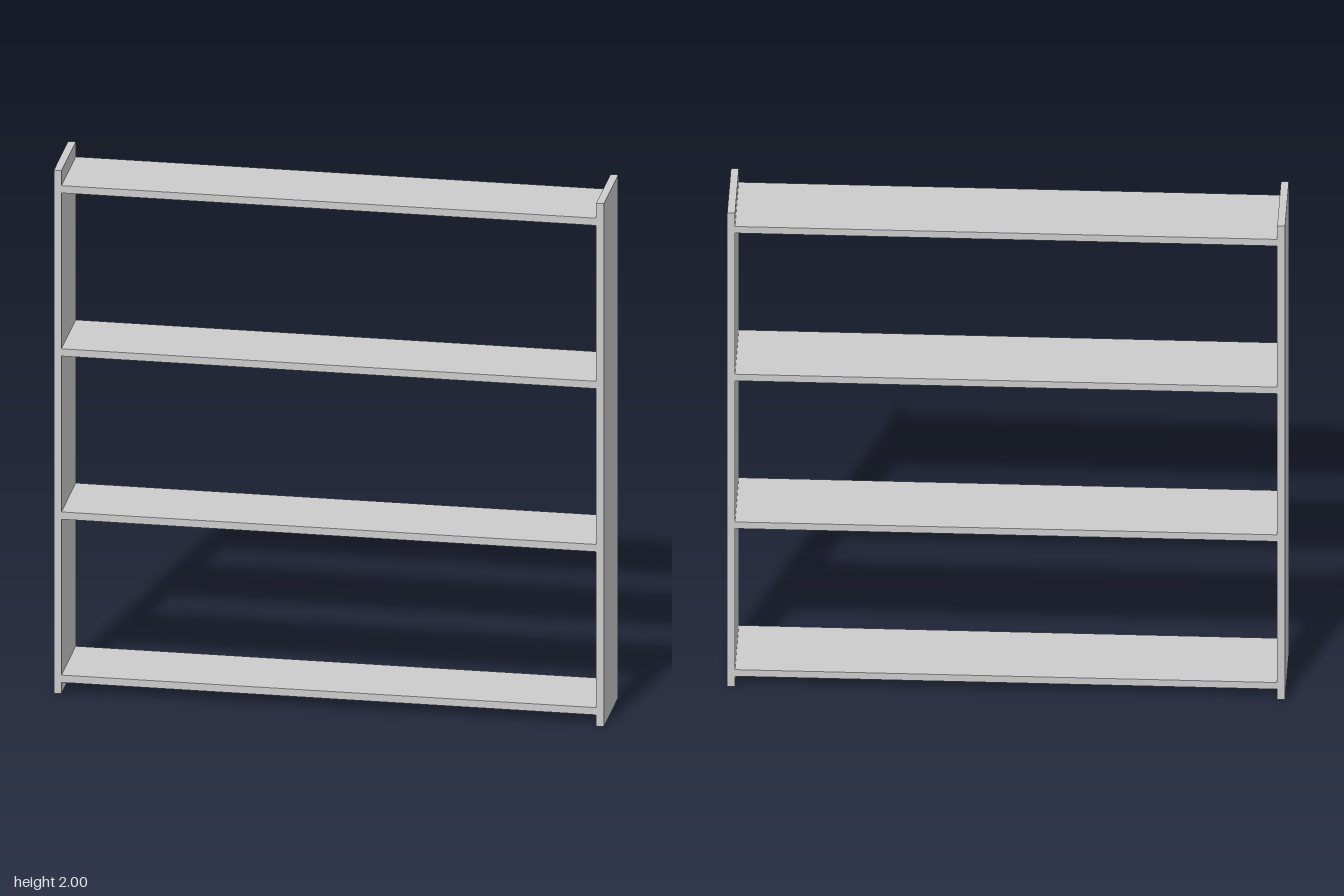
import * as THREE from 'three';

export function createModel() {
  const group = new THREE.Group();
  const material = new THREE.MeshStandardMaterial({ color: 0xcccccc });
  const board = 0.028; // board thickness
  const depth = 0.3;

  const addBoard = (name, width, height, x, y) => {
    const mesh = new THREE.Mesh(new THREE.BoxGeometry(width, height, depth), material);
    mesh.name = name;
    mesh.position.set(x, y, 0);
    group.add(mesh);
  };

  // Upright side panels
  for (const [name, side] of [['leftPanel', 1], ['rightPanel', -1]]) {
    addBoard(name, board, 2, side * (1 - board / 2), 1);
  }

  // Four evenly spaced shelves between the panels
  for (let i = 0; i < 4; i++) {
    addBoard(`shelf${i + 1}`, 2 - 2 * board, board, 0, 0.057 + i * 0.624);
  }

  return group;
}
